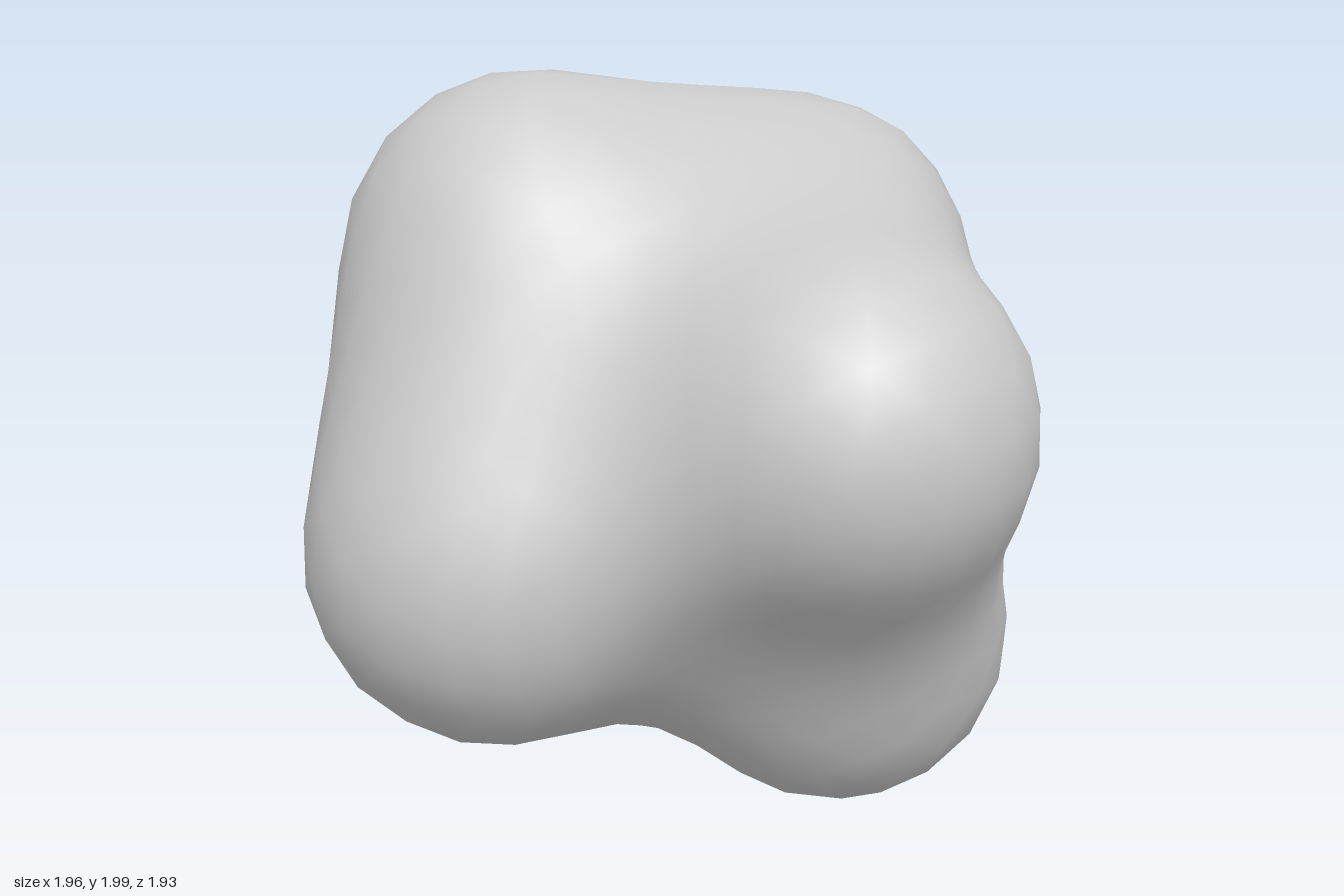
import * as THREE from 'three';
import { mergeVertices } from 'three/addons/utils/BufferGeometryUtils.js';

// The six fused lobes: centre and relative size
const LOBES = [
  [-0.44, 1.5, 0.12, 1.03],    // upper right
  [0.5, 1.2, 0.12, 1.01],      // left
  [-0.31, 0.82, 0.46, 1.045],  // front
  [0.265, 0.485, -0.27, 1],    // bottom
  [0, 1.412, -0.48, 1],        // upper back
  [-0.5, 0.76, -0.355, 1],     // lower back right
].map(([x, y, z, size]) => ({ centre: new THREE.Vector3(x, y, z), size }));
const REACH = 0.94;     // distance at which a lobe of size 1 stops blending
const STRENGTH = 2.52;  // gives a lone lobe of size 1 a radius of about 0.48
const CENTRE = new THREE.Vector3(0, 1, 0);

// Metaball field: the skin lies where it equals 1
function field(p) {
  let sum = 0;
  for (const { centre, size } of LOBES) {
    sum += STRENGTH * Math.max(0, 1 - p.distanceToSquared(centre) / (REACH * size) ** 2) ** 3;
  }
  return sum;
}

// Outermost distance from the centre to the skin along a direction
function skinDistance(dir) {
  const p = new THREE.Vector3();
  const inside = (r) => field(p.copy(CENTRE).addScaledVector(dir, r)) >= 1;
  let r = 1.5;
  while (r > 0.1 && !inside(r)) r -= 0.03;
  let lo = r, hi = r + 0.03;
  for (let i = 0; i < 12; i++) {
    const mid = (lo + hi) / 2;
    if (inside(mid)) lo = mid;
    else hi = mid;
  }
  return lo;
}

export function createModel() {
  // Coarse sphere whose vertices are pushed out to the skin
  let geometry = new THREE.IcosahedronGeometry(1, 7);
  geometry.deleteAttribute('uv');
  geometry.deleteAttribute('normal');
  geometry = mergeVertices(geometry, 1e-4);
  const pos = geometry.attributes.position;
  const dir = new THREE.Vector3();
  for (let i = 0; i < pos.count; i++) {
    dir.fromBufferAttribute(pos, i).normalize();
    dir.multiplyScalar(skinDistance(dir)).add(CENTRE);
    pos.setXYZ(i, dir.x, dir.y, dir.z);
  }
  geometry.computeVertexNormals();

  const blob = new THREE.Mesh(geometry, new THREE.MeshStandardMaterial({ color: 0xcccccc }));
  blob.name = 'blob';
  const group = new THREE.Group();
  group.name = 'lobedBlob';
  group.add(blob);
  return group;
}
